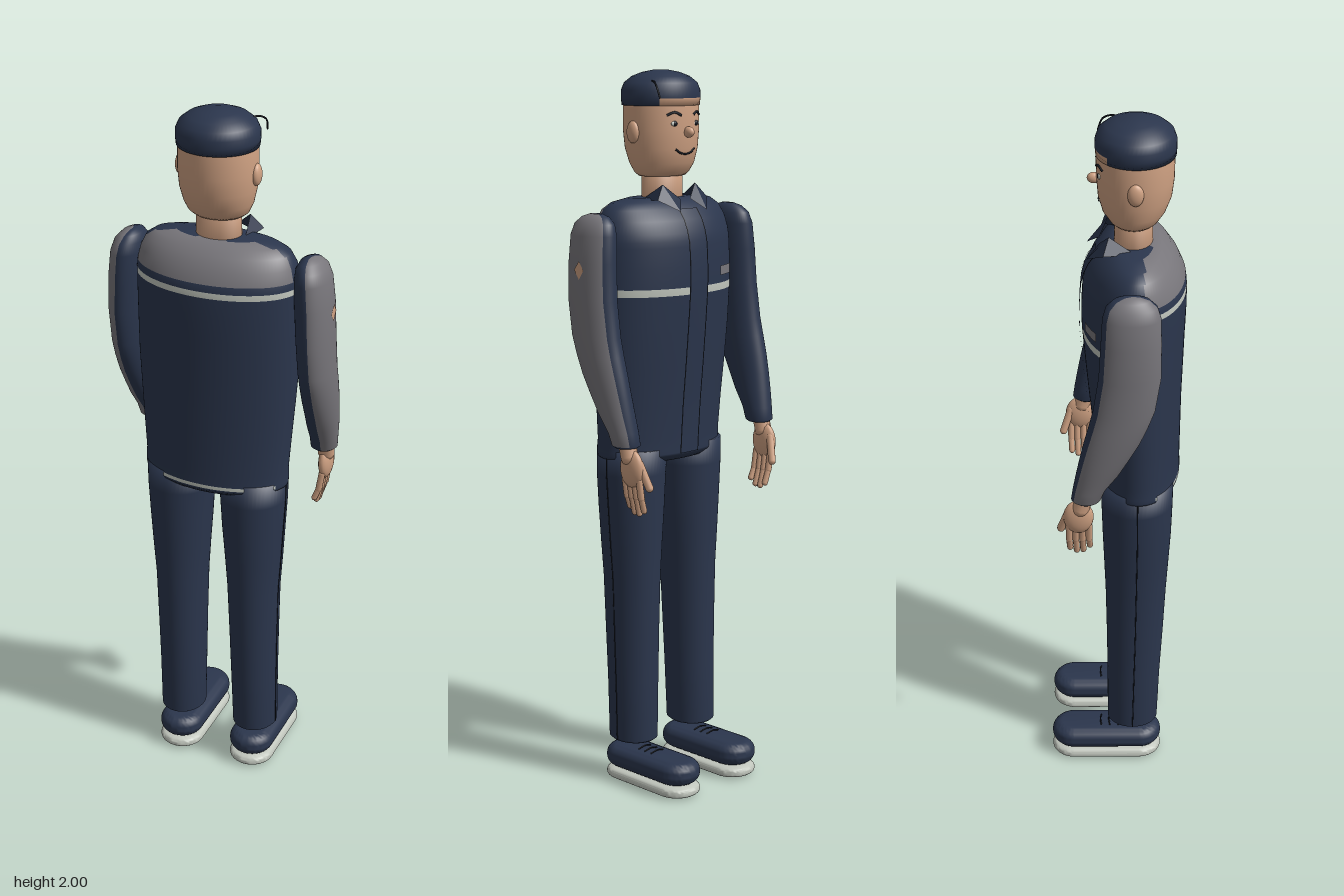
import * as THREE from 'three';
import { mergeVertices, toCreasedNormals } from 'three/addons/utils/BufferGeometryUtils.js';

const mat = (name, color, side = THREE.FrontSide) => {
  const m = new THREE.MeshStandardMaterial({ color, side });
  m.name = name;
  return m;
};

// Sections run upward: [y, centreX, centreZ, radiusX, radiusZ]
const TORSO = [
  [0.935, 0.19, 0.16, -0.04], [0.95, 0.208, 0.176, -0.055], [0.956, 0.209, 0.177, -0.056], [0.966, 0.209, 0.177, -0.056],
  [1.0, 0.208, 0.176, -0.058], [1.1, 0.215, 0.177, -0.065], [1.2, 0.222, 0.178, -0.075], [1.3, 0.228, 0.181, -0.084],
  [1.4, 0.23, 0.184, -0.092], [1.42, 0.23, 0.185, -0.093], [1.48, 0.23, 0.187, -0.093], [1.53, 0.229, 0.187, -0.09],
  [1.546, 0.229, 0.186, -0.088], [1.566, 0.227, 0.183, -0.084], [1.6, 0.219, 0.168, -0.07], [1.63, 0.204, 0.146, -0.048],
  [1.648, 0.178, 0.12, -0.022], [1.658, 0.12, 0.1, -0.005],
].map(([y, rx, back, front]) => [y, 0, (back + front) / 2, rx, (back - front) / 2]);

const HEAD = [
  [1.715, 0, 0.046, 0.07, 0.056], [1.725, 0, 0.046, 0.083, 0.066], [1.75, 0, 0.046, 0.094, 0.083],
  [1.79, 0, 0.048, 0.103, 0.096], [1.84, 0, 0.049, 0.107, 0.101], [1.9, 0, 0.049, 0.106, 0.102], [1.94, 0, 0.049, 0.1, 0.098],
];
const HAIR = [
  [1.905, 0, 0.05, 0.109, 0.104], [1.925, 0, 0.05, 0.1115, 0.1055], [1.945, 0, 0.05, 0.111, 0.105], [1.965, 0, 0.05, 0.102, 0.098],
  [1.982, 0, 0.05, 0.08, 0.078], [1.993, 0, 0.05, 0.052, 0.05], [1.999, 0, 0.05, 0.02, 0.02],
];
const ARM = [
  [1.01, 0.262, -0.083, 0.03, 0.032], [1.016, 0.262, -0.083, 0.037, 0.04], [1.05, 0.264, -0.074, 0.039, 0.044],
  [1.1, 0.268, -0.052, 0.043, 0.057], [1.15, 0.271, -0.033, 0.045, 0.066], [1.2, 0.273, -0.014, 0.047, 0.074],
  [1.25, 0.274, 0.003, 0.048, 0.078], [1.3, 0.274, 0.018, 0.048, 0.081], [1.4, 0.273, 0.033, 0.049, 0.081],
  [1.5, 0.269, 0.036, 0.05, 0.078], [1.57, 0.264, 0.037, 0.047, 0.075], [1.6, 0.26, 0.037, 0.04, 0.066],
  [1.618, 0.256, 0.037, 0.027, 0.046], [1.626, 0.254, 0.037, 0.012, 0.02],
];
const LEG = [
  [0.123, 0.115, 0.047, 0.056, 0.064], [0.13, 0.115, 0.047, 0.064, 0.073], [0.3, 0.113, 0.05, 0.067, 0.076],
  [0.45, 0.112, 0.053, 0.07, 0.081], [0.6, 0.111, 0.055, 0.074, 0.086], [0.7, 0.111, 0.056, 0.081, 0.091],
  [0.8, 0.11, 0.057, 0.088, 0.096], [0.9, 0.11, 0.057, 0.094, 0.099], [0.97, 0.106, 0.057, 0.098, 0.1],
];

// Skin of elliptical rings with closed ends; pick(y, angle, x, z) chooses a material index per face
function loft(sections, materials, pick = () => 0, s = 1, n = 56) {
  const shut = ([y, x, z]) => [y, x, z, 0.0005, 0.0005];
  const rings = [shut(sections[0]), ...sections, shut(sections.at(-1))];
  const pos = [], lists = materials.map(() => []);
  for (const [y, cx, cz, rx, rz] of rings)
    for (let j = 0; j < n; j++) {
      const a = (j / n) * Math.PI * 2;
      pos.push(cx * s + rx * Math.cos(a), y, cz + rz * Math.sin(a));
    }
  for (let i = 0; i < rings.length - 1; i++)
    for (let j = 0; j < n; j++) {
      const k = (j + 1) % n, a = ((j + 0.5) / n) * Math.PI * 2;
      const [y, cx, cz, rx, rz] = rings[i].map((v, c) => (v + rings[i + 1][c]) / 2);
      const list = lists[pick(y, a, cx * s + rx * Math.cos(a), cz + rz * Math.sin(a))];
      const p = i * n + j, q = i * n + k;
      list.push(p, p + n, q, q, p + n, q + n);
    }
  const g = new THREE.BufferGeometry();
  g.setAttribute('position', new THREE.Float32BufferAttribute(pos, 3));
  g.setIndex(lists.flat());
  let start = 0;
  lists.forEach((l, i) => { g.addGroup(start, l.length, i); start += l.length; });
  g.computeVertexNormals();
  return new THREE.Mesh(g, materials);
}

// z of the face side (-z) of a lofted body at x, y
function frontZ(sections, x, y) {
  let i = 0;
  while (i < sections.length - 2 && sections[i + 1][0] < y) i++;
  const t = (y - sections[i][0]) / (sections[i + 1][0] - sections[i][0]);
  const [, , cz, rx, rz] = sections[i].map((v, c) => v + (sections[i + 1][c] - v) * t);
  return cz - rz * Math.sqrt(Math.max(0, 1 - (x / rx) ** 2));
}

// Thin sheet that follows the front of the jacket
function patch(x0, x1, y0, y1, lift, material) {
  const nx = 6, ny = 24;
  const g = new THREE.PlaneGeometry(1, 1, nx, ny), p = g.attributes.position;
  for (let i = 0; i < p.count; i++) {
    const x = x1 + (x0 - x1) * (p.getX(i) + 0.5), y = y0 + (y1 - y0) * (p.getY(i) + 0.5);
    p.setXYZ(i, x, y, frontZ(TORSO, x, y) - lift);
  }
  g.computeVertexNormals();
  return new THREE.Mesh(g, material);
}

// Round-ended rod between two points
function rod(a, b, r, material) {
  const p = new THREE.Vector3(...a), q = new THREE.Vector3(...b), d = q.clone().sub(p);
  const m = new THREE.Mesh(new THREE.CapsuleGeometry(r, d.length(), 4, 10), material);
  m.position.copy(p).add(q).multiplyScalar(0.5);
  m.quaternion.setFromUnitVectors(new THREE.Vector3(0, 1, 0), d.normalize());
  return m;
}

function tube(points, r, material) {
  const c = new THREE.CatmullRomCurve3(points.map((p) => new THREE.Vector3(...p)));
  return new THREE.Mesh(new THREE.TubeGeometry(c, 20, r, 6), material);
}

function ball(x, y, z, rx, ry, rz, material) {
  const m = new THREE.Mesh(new THREE.SphereGeometry(1, 20, 14), material);
  m.position.set(x, y, z);
  m.scale.set(rx, ry, rz);
  return m;
}

// Rounded slab with semicircular ends, lying flat
function slab(x, y, z, thickness, material) {
  const r = 0.034, l = 0.096, t = thickness / 2 - 0.002;
  const sh = new THREE.Shape();
  sh.absarc(0, l, r, 0, Math.PI).absarc(0, -l, r, Math.PI, Math.PI * 2).closePath();
  let g = new THREE.ExtrudeGeometry(sh, { depth: 0.004, bevelSize: 0.031, bevelThickness: t, bevelSegments: 6, curveSegments: 14 });
  g.deleteAttribute('uv');
  g.deleteAttribute('normal');
  g = toCreasedNormals(mergeVertices(g, 1e-5), 0.9);
  g.rotateX(Math.PI / 2).translate(x, y + 0.004 + t, z);
  return new THREE.Mesh(g, material);
}

export function createModel() {
  const model = new THREE.Group();
  const navy = mat('navy cloth', 0x2b364d), grey = mat('grey cloth', 0x78767b), pale = mat('pale trim', 0xc2c7be);
  const skin = mat('skin', 0xd0a283), dark = mat('dark detail', 0x141820), flap = mat('collar cloth', 0x263046, THREE.DoubleSide);
  const add = (name, m, parent = model) => { m.name = name; parent.add(m); return m; };

  // Jacket with grey back yoke and pale bands
  add('jacket', loft(TORSO, [navy, grey, pale], (y, a, x, z) => {
    if (y > 1.566 && z > 0.072) return 1;
    if (y > 1.53 && y < 1.546 && z > 0.06) return 2;
    if (y > 0.956 && y < 0.966 && z > 0.105) return 2;
    if (y > 1.4 && y < 1.42 && z < 0.02) return 2;
    return 0;
  }, 1, 96));
  add('placket', patch(-0.033, 0.033, 0.955, 1.63, 0.006, navy));
  add('chestLabel', patch(-0.165, -0.1, 1.442, 1.468, 0.004, grey));

  // Neck, head and hair
  add('neck', loft([[1.63, 0, 0.045, 0.063, 0.051], [1.73, 0, 0.045, 0.061, 0.05]], [skin]));
  add('head', loft(HEAD, [skin]));
  add('hair', loft(HAIR, [navy, skin], (y, a, x, z) => (y > 1.905 && y < 1.925 && z < -0.02 ? 1 : 0)));
  add('looseStrand', tube([[0.065, 1.968, 0.03], [0.085, 1.97, -0.01], [0.098, 1.955, -0.035], [0.097, 1.925, -0.047]], 0.0025, dark));
  add('nose', ball(0, 1.835, -0.058, 0.012, 0.015, 0.018, skin));
  const onFace = (x, y, out = 0.001) => [x, y, frontZ(HEAD, x, y) - out];
  add('mouth', tube([[-0.036, 1.79], [-0.018, 1.779], [0, 1.776], [0.018, 1.779], [0.036, 1.79]].map(([x, y]) => onFace(x, y)), 0.0028, dark));

  for (const s of [1, -1]) {
    // Face
    add('ear', ball(s * 0.107, 1.835, 0.048, 0.013, 0.03, 0.021, skin));
    const eye = add('eye', new THREE.Group());
    add('eyeWhite', ball(...onFace(s * 0.04, 1.858, -0.001), 0.013, 0.007, 0.004, pale), eye);
    add('pupil', ball(...onFace(s * 0.04, 1.858, 0.001), 0.007, 0.007, 0.004, dark), eye);
    add('eyebrow', tube([[0.022, 1.88], [0.042, 1.888], [0.062, 1.88]].map(([x, y]) => onFace(s * x, y)), 0.0035, dark));

    // Collar flap
    const c = new THREE.BufferGeometry();
    c.setAttribute('position', new THREE.Float32BufferAttribute(
      [0.018, 1.655, -0.045, 0.062, 1.695, -0.02, 0.095, 1.655, -0.035, 0.05, 1.625, -0.078, 0.075, 1.65, 0.05].map((v, i) => (i % 3 ? v : v * s)), 3));
    c.setIndex([0, 1, 3, 1, 2, 3, 1, 4, 2]);
    const flat = c.toNonIndexed();
    flat.computeVertexNormals();
    add('collar', new THREE.Mesh(flat, flap));
    add('placketSeam', patch(s * 0.033 - 0.002, s * 0.033 + 0.002, 0.955, 1.63, 0.0075, dark));

    // Sleeve with grey outer panel
    add('sleeve', loft(ARM, [navy, grey], (y, a) => {
      const deg = THREE.MathUtils.radToDeg(Math.atan2(Math.sin(a), s * Math.cos(a)));
      return y > 1.03 && deg > -60 && deg < 84 ? 1 : 0;
    }, s));

    // Hand
    const hand = add('hand', new THREE.Group());
    add('wrist', rod([s * 0.264, 1.03, -0.086], [s * 0.264, 0.985, -0.098], 0.024, skin), hand);
    add('palm', ball(s * 0.262, 0.955, -0.104, 0.019, 0.052, 0.041, skin), hand);
    for (let k = 0; k < 4; k++) {
      const z = -0.076 - k * 0.018, tip = [0.845, 0.83, 0.828, 0.838][k];
      add('finger', rod([s * 0.26, 0.925, z], [s * 0.252, 0.875, z], 0.0095, skin), hand);
      add('fingertip', rod([s * 0.252, 0.875, z], [s * 0.24, tip, z + 0.002], 0.0085, skin), hand);
    }
    add('thumb', rod([s * 0.258, 0.97, -0.13], [s * 0.243, 0.905, -0.152], 0.011, skin), hand);

    // Trouser leg with side seam
    add('trouserLeg', loft(LEG, [navy], undefined, s));
    add('legSeam', tube(LEG.slice(1).map(([y, x, z, rx]) => [s * (x + rx), y, z]), 0.0018, dark));

    // Shoe
    const shoe = add('shoe', new THREE.Group());
    add('sole', slab(s * 0.113, 0, -0.03, 0.034, pale), shoe);
    add('upper', slab(s * 0.113, 0.035, -0.03, 0.064, navy), shoe);
    for (const z of [0.005, -0.02, -0.045])
      add('lace', tube([[s * 0.113 - 0.025, 0.1, z], [s * 0.113, 0.106, z - 0.003], [s * 0.113 + 0.025, 0.1, z]], 0.002, dark), shoe);
  }

  // Plain patch on one sleeve
  const badge = add('sleevePatch', new THREE.Mesh(new THREE.CircleGeometry(0.018, 4), skin));
  badge.scale.set(1, 1.4, 1);
  badge.rotation.y = Math.PI / 2;
  badge.position.set(0.3215, 1.48, 0.034);
  return model;
}
